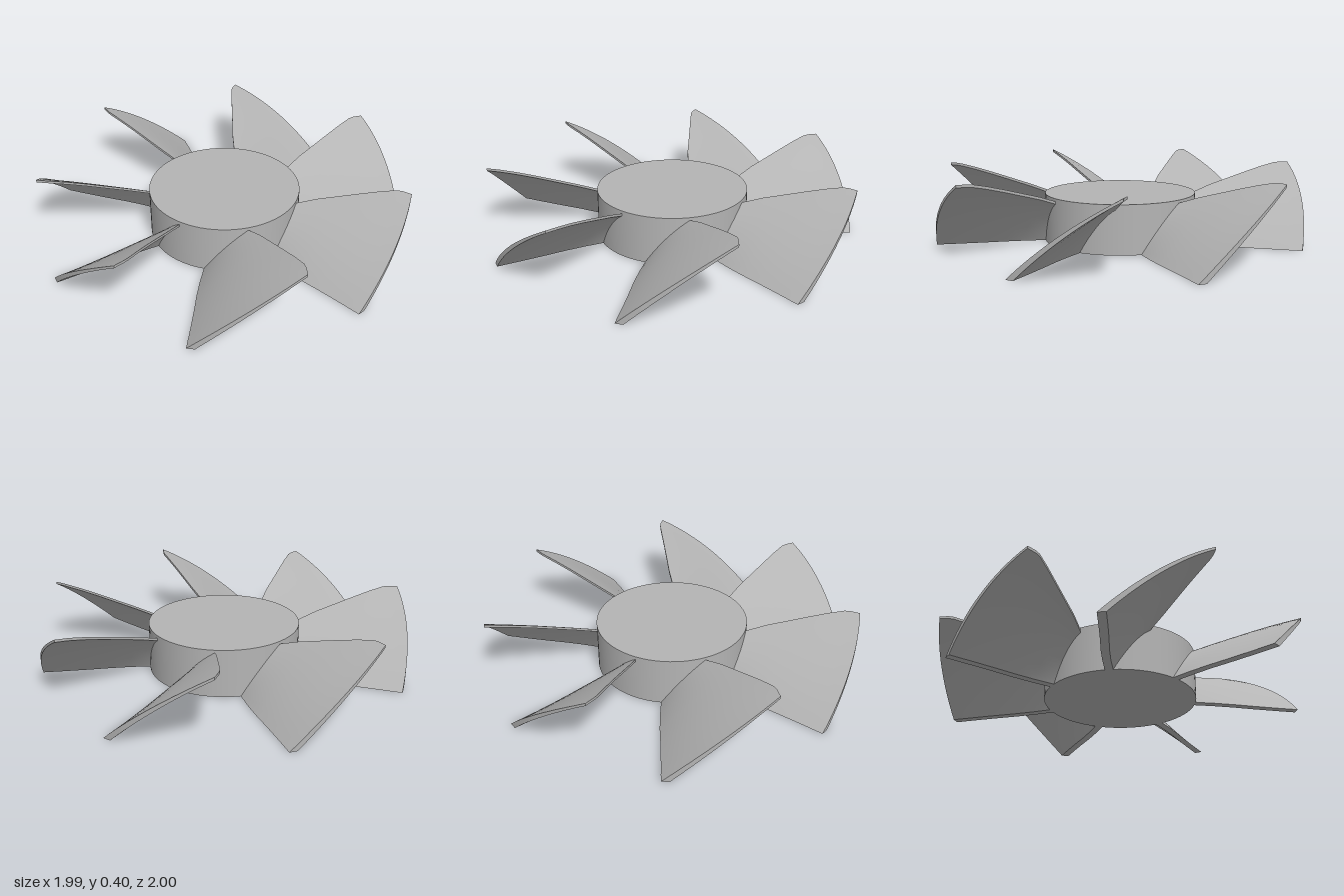
import * as THREE from 'three';

const BLADES = 7;
const HUB_RADIUS = 0.412;
const HUB_HEIGHT = 0.262;
const rad = THREE.MathUtils.degToRad;

// Blade stations: radius, low-edge angle, high-edge angle (degrees), high-edge height
const STATIONS = [
  [0.385, 17.2, -14.0, 0.235],
  [0.42, 17.0, -15.8, 0.25],
  [0.52, 16.0, -18.2, 0.285],
  [0.63, 14.8, -19.3, 0.317],
  [0.74, 13.6, -20.1, 0.349],
  [0.84, 12.9, -20.7, 0.376],
  [0.92, 12.5, -21.0, 0.394],
  [0.95, 12.4, -20.7, 0.397],
  [0.998, 12.2, -19.8, 0.397],
];

// Point on a blade: i = station, u = 0 (low edge) to 1 (high edge), side = 0 upper, 1 lower
function bladePoint(i, u, side) {
  const [r, low, high, top] = STATIONS[i];
  const bow = 0.028 * 4 * u * (1 - u);
  const shift = side * 0.042 * (1 - 0.75 * u) / r;
  const angle = THREE.MathUtils.lerp(rad(low), rad(high), u) - shift * (1 - u * u * u);
  const y = top * u + bow - side * 0.014 * u;
  return new THREE.Vector3(r * Math.cos(angle), y, r * Math.sin(angle));
}

// Smooth patch of rows x cols cells, facing along (d/drow) x (d/dcol)
function patch(rows, cols, point) {
  const positions = [];
  const index = [];
  for (let i = 0; i <= rows; i++) {
    for (let j = 0; j <= cols; j++) positions.push(...point(i, j).toArray());
  }
  for (let i = 0; i < rows; i++) {
    for (let j = 0; j < cols; j++) {
      const a = i * (cols + 1) + j;
      const b = a + cols + 1;
      index.push(a, b, b + 1, a, b + 1, a + 1);
    }
  }
  const geometry = new THREE.BufferGeometry();
  geometry.setAttribute('position', new THREE.Float32BufferAttribute(positions, 3));
  geometry.setIndex(index);
  geometry.computeVertexNormals();
  return geometry;
}

export function createModel() {
  const model = new THREE.Group();
  model.name = 'fanRotor';
  const metal = new THREE.MeshStandardMaterial({ color: 0xb4b4b4 });
  metal.name = 'grey';

  // Solid hub
  const hub = new THREE.Mesh(new THREE.CylinderGeometry(HUB_RADIUS, HUB_RADIUS, HUB_HEIGHT, 72), metal);
  hub.name = 'hub';
  hub.position.y = HUB_HEIGHT / 2;
  model.add(hub);

  // Faces of one blade, kept apart so its edges stay sharp
  const n = STATIONS.length - 1;
  const m = 16;
  const faces = {
    upperFace: patch(n, m, (i, j) => bladePoint(i, j / m, 0)),
    lowerFace: patch(n, m, (i, j) => bladePoint(i, 1 - j / m, 1)),
    tipEdge: patch(1, m, (i, j) => bladePoint(n, j / m, i)),
    lowEdge: patch(n, 1, (i, j) => bladePoint(i, 0, 1 - j)),
    highEdge: patch(n, 1, (i, j) => bladePoint(i, 1, j)),
  };

  // Blades spread evenly round the hub
  for (let k = 0; k < BLADES; k++) {
    const blade = new THREE.Group();
    blade.name = `blade${k + 1}`;
    for (const [name, geometry] of Object.entries(faces)) {
      const mesh = new THREE.Mesh(geometry, metal);
      mesh.name = name;
      blade.add(mesh);
    }
    blade.rotation.y = (k * Math.PI * 2) / BLADES;
    model.add(blade);
  }
  return model;
}
